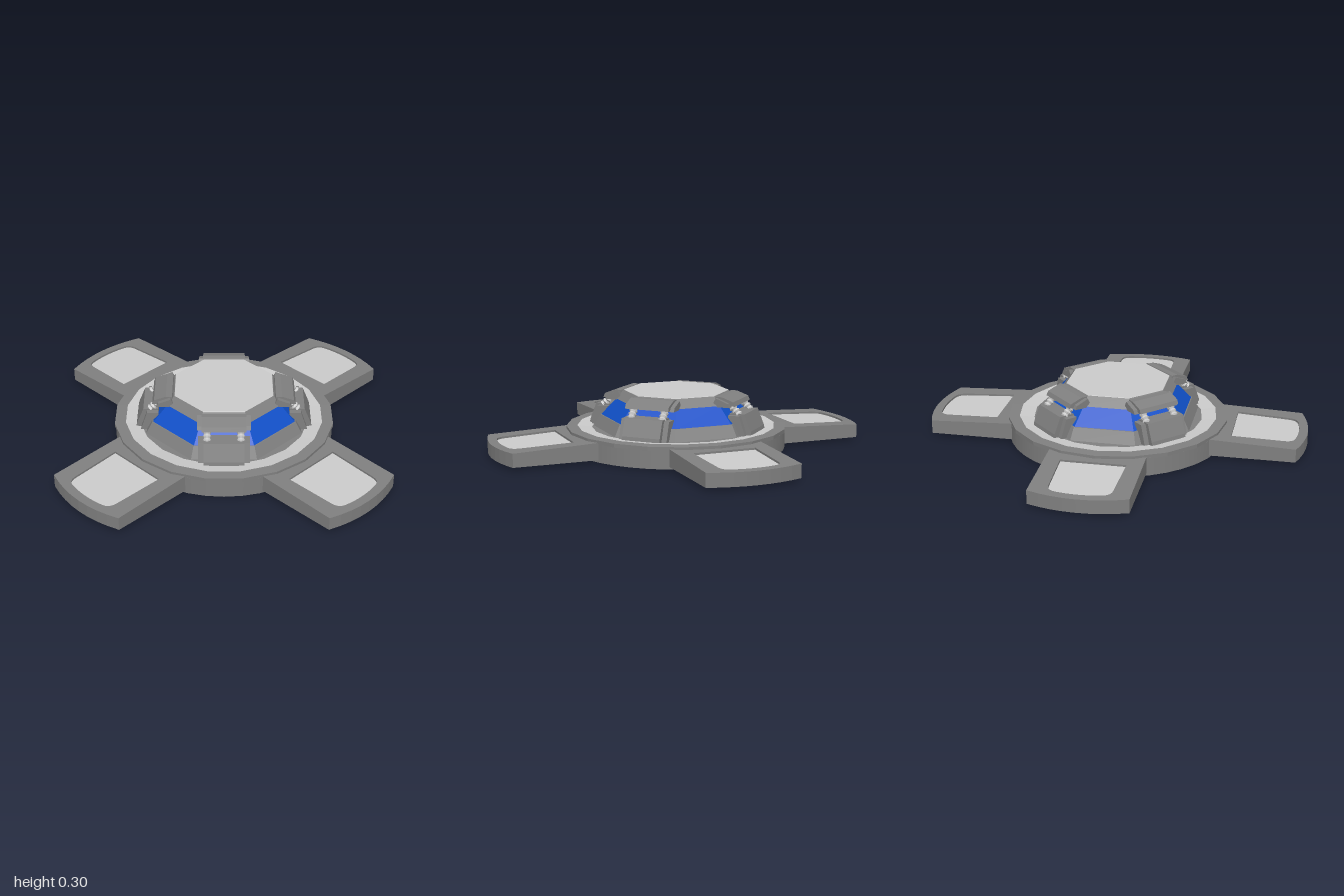
import * as THREE from 'three';

const make = (color, flatShading = true) =>
  new THREE.MeshStandardMaterial({ color, flatShading, side: THREE.DoubleSide });
const light = make(0xcccccc), dark = make(0x808080), blue = make(0x1050c8);
const darkSmooth = make(0x808080, false);
const armTop = x => 0.1 - 0.04 * (x - 0.52);

function mesh(name, geometry, material) {
  const m = new THREE.Mesh(geometry, material);
  m.name = name;
  return m;
}

// Octagonal frustum with flats on the axes, sized by apothem
function octagon(name, y0, a0, y1, a1, material) {
  const k = 1 / Math.cos(Math.PI / 8);
  const g = new THREE.CylinderGeometry(a1 * k, a0 * k, y1 - y0, 8);
  g.rotateY(Math.PI / 8).translate(0, (y0 + y1) / 2, 0);
  return mesh(name, g, material);
}

// Surface turned around y from [radius, height] points
function turned(name, points, sides, material) {
  const g = new THREE.LatheGeometry(points.map(p => new THREE.Vector2(...p)), sides);
  return mesh(name, g, material);
}

// Prism with a [radius, height] profile, centred across the radial direction
function block(name, points, halfWidth) {
  const shape = new THREE.Shape(points.map(p => new THREE.Vector2(...p)));
  const g = new THREE.ExtrudeGeometry(shape, { depth: 2 * halfWidth, bevelEnabled: false });
  return mesh(name, g.translate(0, 0, -halfWidth), dark);
}

function panelOutline(Type) {
  const s = new Type();
  s.moveTo(0.62, -0.165);
  s.lineTo(0.89, -0.155);
  s.quadraticCurveTo(0.935, -0.152, 0.943, -0.11);
  s.quadraticCurveTo(0.965, 0, 0.943, 0.11);
  s.quadraticCurveTo(0.935, 0.152, 0.89, 0.155);
  s.lineTo(0.62, 0.165);
  s.closePath();
  return s;
}

// Flat outline raised to a thin slab whose top follows the arm's slope
function slopedSlab(name, shape, drop, material) {
  const g = new THREE.ExtrudeGeometry(shape, { depth: 1, bevelEnabled: false, curveSegments: 8 });
  g.rotateX(-Math.PI / 2);
  const p = g.attributes.position;
  for (let i = 0; i < p.count; i++) {
    p.setY(i, 0.012 + p.getY(i) * (armTop(p.getX(i)) - drop - 0.012));
  }
  g.computeVertexNormals();
  return mesh(name, g, material);
}

function createArm() {
  const arm = new THREE.Group();
  const outline = new THREE.Shape();
  outline.moveTo(0.45, -0.245);
  outline.lineTo(0.955, -0.245);
  outline.quadraticCurveTo(1.045, 0, 0.955, 0.245);
  outline.lineTo(0.45, 0.245);
  outline.closePath();
  outline.holes.push(panelOutline(THREE.Path));
  arm.add(slopedSlab('armFrame', outline, 0, dark));
  arm.add(slopedSlab('armPanel', panelOutline(THREE.Shape), 0.01, light));
  return arm;
}

// Corner clamp: stepped lower block, upper block, two ribbed pistons
function createClamp() {
  const clamp = new THREE.Group();
  clamp.add(block('clampWings', [[0.34, 0.1], [0.435, 0.1], [0.4, 0.205], [0.34, 0.205]], 0.13));
  clamp.add(block('clampBase', [[0.34, 0.1], [0.46, 0.1], [0.455, 0.125], [0.42, 0.212], [0.34, 0.212]], 0.103));
  clamp.add(block('clampHead', [[0.25, 0.25], [0.372, 0.25], [0.362, 0.272], [0.3, 0.294], [0.268, 0.294]], 0.113));
  clamp.add(block('clampHeadWings', [[0.25, 0.245], [0.35, 0.245], [0.34, 0.265], [0.275, 0.29]], 0.135));
  for (const side of [-1, 1]) {
    const ribs = [[0, -0.04]];
    for (let i = 0; i <= 8; i++) ribs.push([i % 2 ? 0.022 : 0.015, -0.04 + i * 0.01]);
    ribs.push([0, 0.04]);
    const piston = turned('piston', ribs, 10, light);
    piston.position.set(0.36, 0.23, side * 0.085);
    piston.rotation.z = 0.75;
    clamp.add(piston);
  }
  return clamp;
}

export function createModel() {
  const model = new THREE.Group();

  // Round base with a faceted lip and a sunken ring
  const body = new THREE.CylinderGeometry(0.574, 0.574, 0.095, 40);
  model.add(mesh('baseDisc', body.translate(0, 0.0475, 0), darkSmooth));
  model.add(turned('baseLip', [[0.57, 0.09], [0.58, 0.092], [0.58, 0.112], [0.522, 0.114]], 20, dark));
  model.add(turned('ringFloor', [[0.522, 0.114], [0.445, 0.104]], 20, light));
  model.add(turned('domeSeat', [[0.445, 0.104], [0, 0.104]], 20, dark));

  // Octagonal dome
  model.add(octagon('domeWall', 0.1, 0.405, 0.165, 0.372, dark));
  model.add(octagon('domeWindows', 0.165, 0.366, 0.252, 0.29, blue));
  model.add(octagon('domeRoof', 0.25, 0.295, 0.295, 0.256, dark));
  model.add(octagon('roofPlate', 0.294, 0.256, 0.297, 0.254, light));

  // Four arms on the axes, four clamps on the diagonals
  for (let i = 0; i < 4; i++) {
    const arm = createArm();
    arm.name = 'arm';
    arm.rotation.y = i * Math.PI / 2;
    const clamp = createClamp();
    clamp.name = 'cornerClamp';
    clamp.rotation.y = Math.PI / 4 + i * Math.PI / 2;
    model.add(arm, clamp);
  }
  return model;
}
